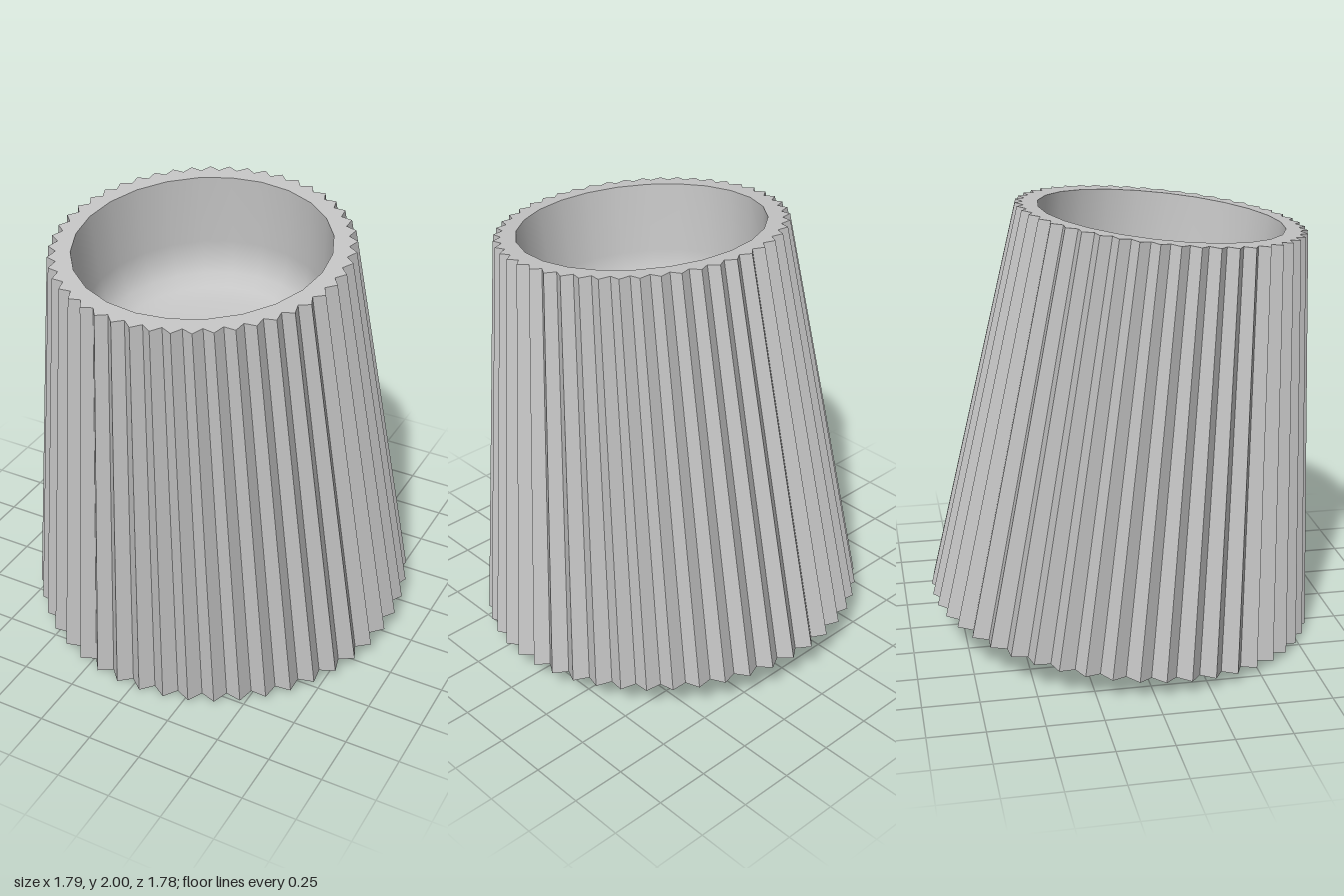
import * as THREE from 'three';

const PLEATS = 48;
const VALLEY = 0.947;              // valley radius relative to peak radius
const BASE_R = 0.895, TOP_R = 0.653, HEIGHT = 1.847, CUP_R = 0.555;
const START = THREE.MathUtils.degToRad(2.5);

export function createModel() {
  const grey = new THREE.MeshStandardMaterial({ color: 0xc4c4c4, side: THREE.DoubleSide });
  grey.name = 'light grey';

  const model = new THREE.Group();
  model.name = 'pleatedCup';
  const body = new THREE.Group();
  body.name = 'tiltedBody';
  model.add(body);

  const add = (name, geometry) => {
    const mesh = new THREE.Mesh(geometry, grey);
    mesh.name = name;
    body.add(mesh);
  };

  // Pleated tapering wall, open below: every second column is pulled inwards
  const segments = PLEATS * 2;
  let wall = new THREE.CylinderGeometry(TOP_R, BASE_R, HEIGHT, segments, 1, true, START);
  const pos = wall.attributes.position, uv = wall.attributes.uv;
  for (let i = 0; i < pos.count; i++) {
    if (Math.round(uv.getX(i) * segments) % 2) {
      pos.setX(i, pos.getX(i) * VALLEY);
      pos.setZ(i, pos.getZ(i) * VALLEY);
    }
  }
  wall.translate(0, HEIGHT / 2, 0);
  wall = wall.toNonIndexed();
  wall.computeVertexNormals();
  add('pleatedWall', wall);

  // Flat rim: toothed outline with a round opening
  const ring = (count, radius) => Array.from({ length: count }, (_, i) => {
    const a = START * (count === segments ? 1 : 0) + (i / count) * Math.PI * 2;
    const r = radius(i);
    return new THREE.Vector2(Math.sin(a) * r, -Math.cos(a) * r);
  });
  const outline = new THREE.Shape(ring(segments, i => TOP_R * (i % 2 ? VALLEY : 1)));
  outline.holes.push(new THREE.Path(ring(24, () => CUP_R)));
  const rim = new THREE.ShapeGeometry(outline);
  rim.rotateX(-Math.PI / 2);
  rim.translate(0, HEIGHT, 0);
  add('rim', rim);

  // Smooth inner bowl with a rounded bottom edge, profile from centre to rim
  const profile = [
    [0, -0.55], [0.2, -0.545], [0.36, -0.53], [0.43, -0.505], [0.485, -0.46],
    [0.52, -0.4], [0.535, -0.32], [CUP_R, 0],
  ].map(([r, y]) => new THREE.Vector2(r, HEIGHT + y));
  add('innerBowl', new THREE.LatheGeometry(profile, 24));

  // The whole body leans towards the front
  body.rotation.x = 0.104;
  body.position.y = 0.094;
  return model;
}
